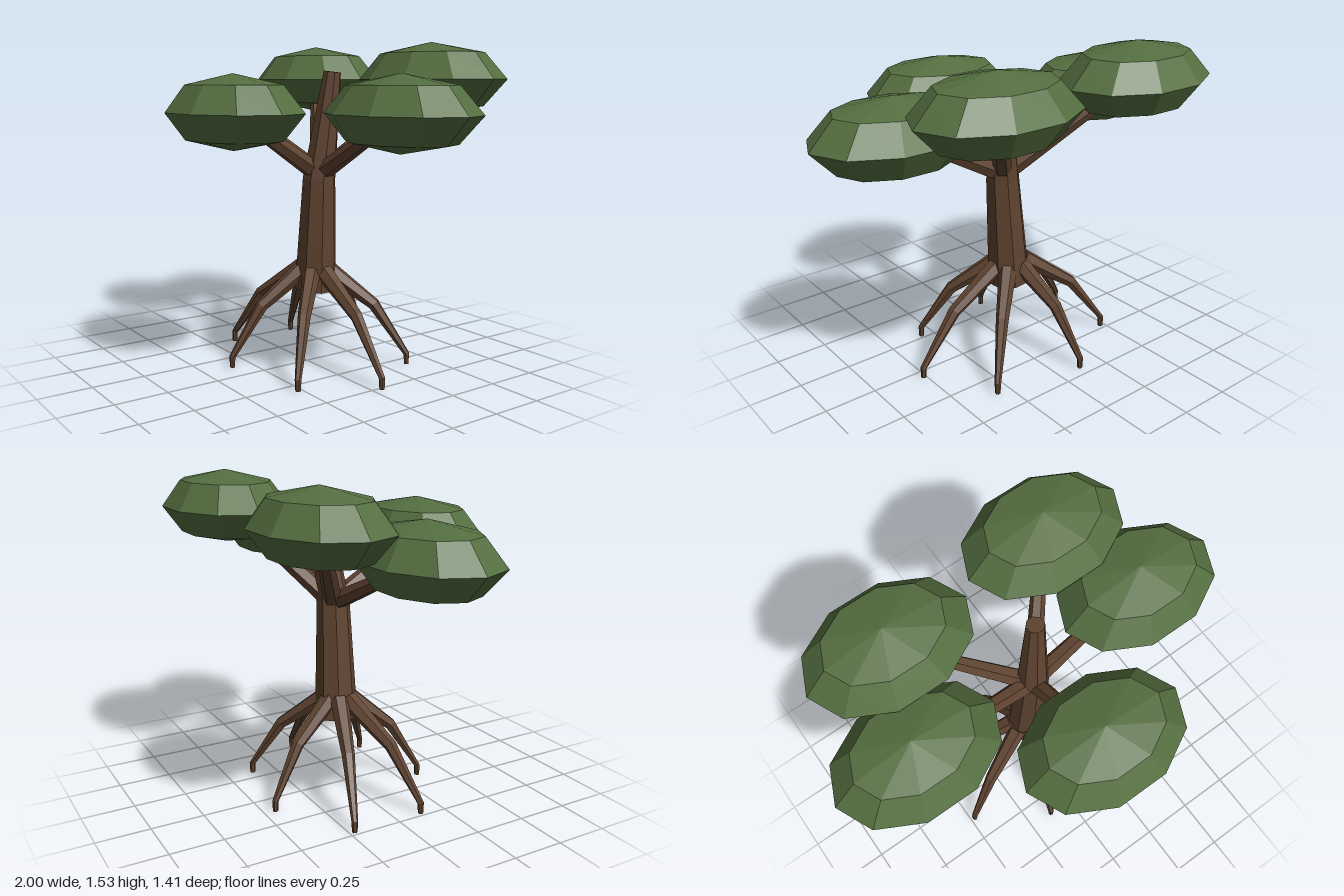
import * as THREE from 'three';

const bark = new THREE.MeshStandardMaterial({ color: 0x5f4330 });
bark.name = 'bark brown';
const leaf = new THREE.MeshStandardMaterial({ color: 0x546e40 });
leaf.name = 'leaf green';
bark.flatShading = leaf.flatShading = true;

const V = (x, y, z) => new THREE.Vector3(x, y, z);

// Tapered, mitred and capped limb through a few points, one radius per point
function limb(points, radii, sides) {
  const n = points.length;
  const whole = points[n - 1].clone().sub(points[0]);
  const side = V(-whole.z, 0, whole.x).normalize();
  const pos = [], idx = [];
  points.forEach((p, i) => {
    const t = V(0, 0, 0);
    if (i > 0) t.add(p.clone().sub(points[i - 1]).normalize());
    if (i < n - 1) t.add(points[i + 1].clone().sub(p).normalize());
    t.normalize();
    const u = side.clone().addScaledVector(t, -side.dot(t)).normalize();
    const v = t.clone().cross(u);
    for (let j = 0; j < sides; j++) {
      const a = (j / sides) * Math.PI * 2;
      const q = p.clone()
        .addScaledVector(u, Math.cos(a) * radii[i])
        .addScaledVector(v, Math.sin(a) * radii[i]);
      pos.push(q.x, q.y, q.z);
    }
  });
  const first = n * sides, last = first + 1, top = (n - 1) * sides;
  pos.push(...points[0].toArray(), ...points[n - 1].toArray());
  for (let j = 0; j < sides; j++) {
    const k = (j + 1) % sides;
    for (let i = 0; i < n - 1; i++) {
      const a = i * sides + j, b = i * sides + k;
      idx.push(a, b, b + sides, a, b + sides, a + sides);
    }
    idx.push(first, k, j, last, top + j, top + k);
  }
  const g = new THREE.BufferGeometry();
  g.setAttribute('position', new THREE.Float32BufferAttribute(pos, 3));
  g.setIndex(idx);
  const flat = g.toNonIndexed();
  flat.computeVertexNormals();
  return flat;
}

export function createModel() {
  const tree = new THREE.Group();
  tree.name = 'tree';
  const add = (name, geometry, material) => {
    const m = new THREE.Mesh(geometry, material);
    m.name = name;
    tree.add(m);
    return m;
  };

  // Leaning trunk
  add('trunk', limb(
    [V(0, 0.36, -0.05), V(0.035, 0.9, -0.045), V(0.08, 1.4, -0.087)],
    [0.104, 0.08, 0.042], 8), bark);

  // Seven stilt roots spread around an oval
  for (let k = 0; k < 7; k++) {
    const a = (k / 7) * Math.PI * 2;
    const at = (r, y) => V(-0.008 + r * Math.cos(a), y, -0.047 + 0.784 * r * Math.sin(a));
    add('root' + (k + 1), limb(
      [at(0.07, 0.46), at(0.335, 0.29), at(0.52, 0.05), at(0.52, 0)],
      [0.045, 0.03, 0.015, 0.0125], 6), bark);
  }

  // Five flattened leaf clumps, each held by a branch from the trunk
  const clumps = [
    [-0.61, 1.222, 0.03], [-0.46, 1.365, -0.38], [0.37, 1.365, -0.435],
    [0.605, 1.222, -0.05], [0.05, 1.222, 0.43],
  ];
  clumps.forEach(([x, y, z], i) => {
    add('branch' + (i + 1), limb(
      [V(0.033, 0.92, -0.047), V(x, y, z)], [0.047, 0.026], 6), bark);
    const clump = add('leafClump' + (i + 1), new THREE.SphereGeometry(1, 10, 4), leaf);
    clump.scale.set(0.39, 0.169, 0.284);
    clump.position.set(x, y, z);
  });

  return tree;
}
